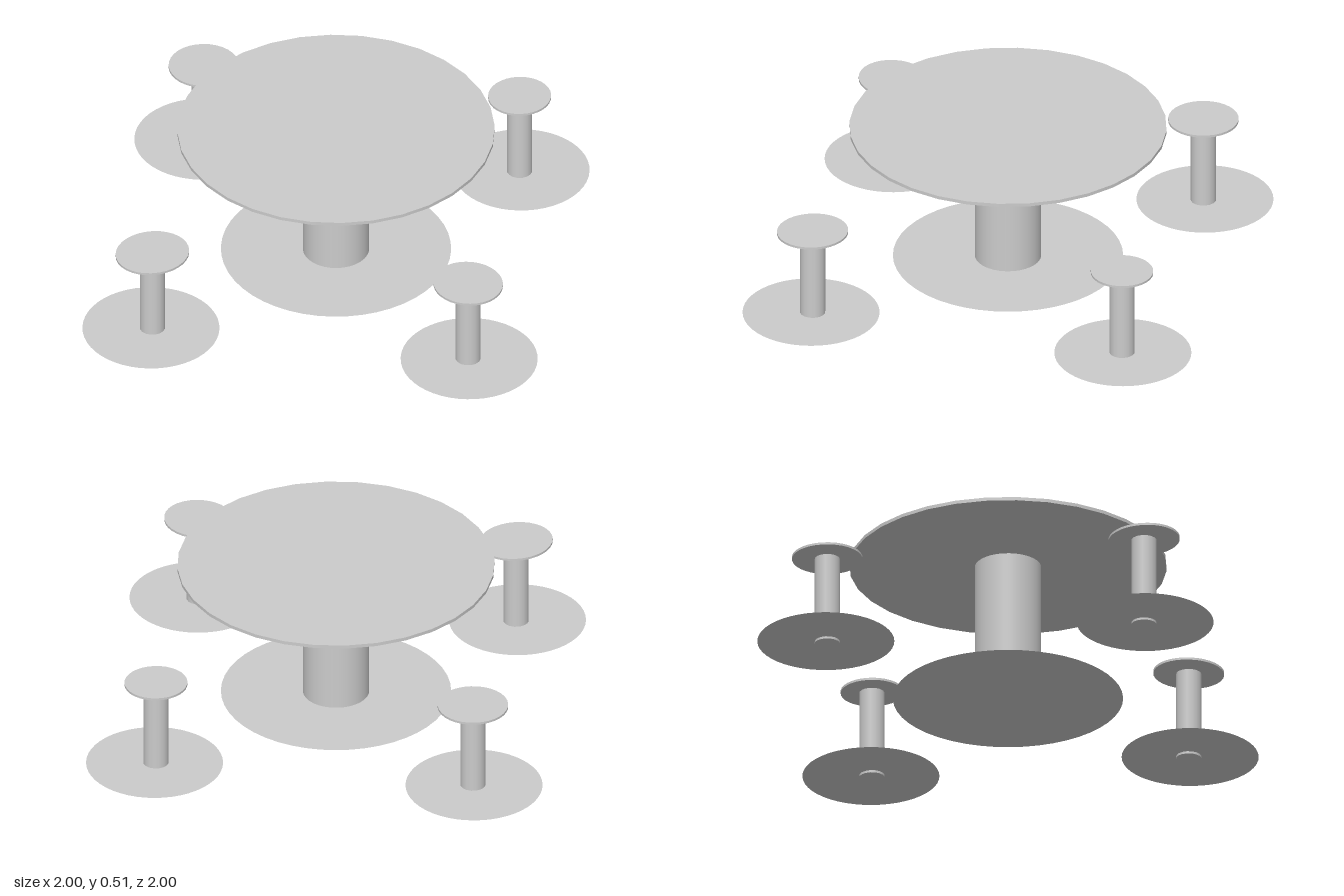
import * as THREE from 'three';

const material = new THREE.MeshStandardMaterial({ color: 0xcccccc });
const thinMaterial = new THREE.MeshStandardMaterial({ color: 0xcccccc, side: THREE.DoubleSide });

// Upright round slab or column between two heights
function column(name, radius, bottom, top, sides) {
  const mesh = new THREE.Mesh(new THREE.CylinderGeometry(radius, radius, top - bottom, sides), material);
  mesh.name = name;
  mesh.position.y = (bottom + top) / 2;
  return mesh;
}

// Paper-thin floor plate
function plate(name, radius, y) {
  const mesh = new THREE.Mesh(new THREE.CircleGeometry(radius, 48).rotateX(-Math.PI / 2), thinMaterial);
  mesh.name = name;
  mesh.position.y = y;
  return mesh;
}

function createTable() {
  const table = new THREE.Group();
  table.name = 'table';
  table.add(
    column('tableTop', 0.535, 0.498, 0.51, 32),
    column('tableColumn', 0.112, 0.01, 0.498, 32),
    plate('tableBase', 0.388, 0.01)
  );
  return table;
}

// Seats are slightly oval: rx and rz are their half widths
function createStool(name, x, z, rx, rz) {
  const stool = new THREE.Group();
  stool.name = name;
  const seat = column('seat', 1, 0.314, 0.322, 32);
  seat.scale.set(rx, 1, rz);
  seat.position.x = x * 0.762;
  seat.position.z = z * 0.762;
  const post = column('seatColumn', 0.043, 0, 0.314, 16);
  post.position.x = x * 0.762;
  post.position.z = z * 0.762;
  const base = plate('seatBase', 0.231, 0.008);
  base.position.x = x * 0.768;
  base.position.z = z * 0.768;
  stool.add(seat, post, base);
  return stool;
}

export function createModel() {
  const model = new THREE.Group();
  model.name = 'tableWithStools';
  model.add(
    createTable(),
    createStool('leftStool', 1, 0, 0.122, 0.115),
    createStool('rightStool', -1, 0, 0.119, 0.119),
    createStool('frontStool', 0, 1, 0.116, 0.128),
    createStool('backStool', 0, -1, 0.105, 0.107)
  );
  return model;
}
